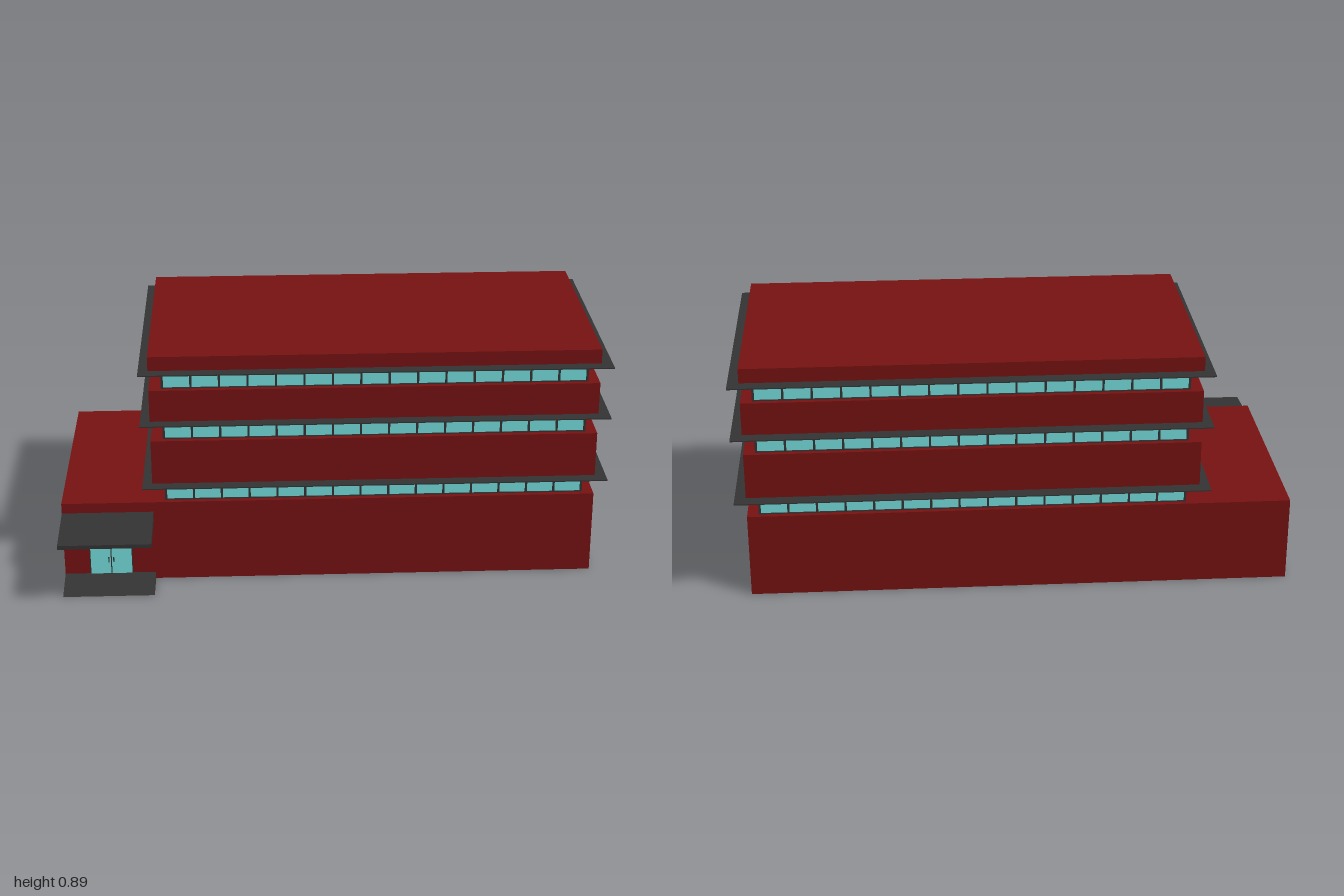
import * as THREE from 'three';

const red = new THREE.MeshStandardMaterial({ color: 0x771212 });
const dark = new THREE.MeshStandardMaterial({ color: 0x333333 });
const glass = new THREE.MeshStandardMaterial({ color: 0x77dfdf });

// Box given by its min and max corners
function block(parent, name, mat, [x0, y0, z0], [x1, y1, z1]) {
  const mesh = new THREE.Mesh(new THREE.BoxGeometry(x1 - x0, y1 - y0, z1 - z0), mat);
  mesh.position.set((x0 + x1) / 2, (y0 + y1) / 2, (z0 + z1) / 2);
  mesh.name = name;
  parent.add(mesh);
  return mesh;
}

// Side profile of [z, y] points, extruded along x
function profile(parent, name, points, x0, x1) {
  const shape = new THREE.Shape(points.map(([z, y]) => new THREE.Vector2(-z, y)));
  const geo = new THREE.ExtrudeGeometry(shape, { depth: x1 - x0, bevelEnabled: false });
  geo.rotateY(Math.PI / 2);
  const mesh = new THREE.Mesh(geo, dark);
  mesh.position.x = x0;
  mesh.name = name;
  parent.add(mesh);
}

// Recessed ribbon of glass with mullions on all four sides
function windowBand(y0, y1) {
  const band = new THREE.Group();
  band.name = 'windowBand';
  const [x0, x1, z0, z1] = [-0.617, 0.915, -0.486, 0.314];
  const t = 0.004;
  block(band, 'glazing', glass, [x0, y0, z0], [x1, y1, z1]);
  const post = (x, z) => block(band, 'mullion', dark, [x - t, y0, z - t], [x + t, y1, z + t]);
  for (let i = 0; i <= 15; i++) {
    const x = x0 + (x1 - x0) * i / 15;
    post(x, z0);
    post(x, z1);
  }
  for (let i = 1; i < 11; i++) {
    const z = z0 + (z1 - z0) * i / 11;
    post(x0, z);
    post(x1, z);
  }
  // sill and head rails
  for (const [a, b] of [[y0, y0 + 0.004], [y1 - 0.005, y1]]) {
    block(band, 'rail', dark, [x0 - 0.003, a, z0 - 0.003], [x1 + 0.003, b, z1 + 0.003]);
  }
  return band;
}

// Projecting sunshade, thinning towards its edge
function sunshade(parent, y) {
  const mesh = block(parent, 'sunshade', dark, [-0.7, y - 0.01, -0.555], [1, y, 0.38]);
  const p = mesh.geometry.attributes.position;
  for (let i = 0; i < p.count; i++) {
    if (p.getY(i) < 0) {
      p.setX(i, p.getX(i) - Math.sign(p.getX(i)) * 0.04);
      p.setZ(i, p.getZ(i) - Math.sign(p.getZ(i)) * 0.045);
    }
  }
  // thin outer lip
  p.needsUpdate = true;
  mesh.geometry = mesh.geometry.toNonIndexed();
  mesh.geometry.computeVertexNormals();
  block(parent, 'sunshadeLip', dark, [-0.7, y - 0.004, -0.555], [1, y, 0.38]);
}

export function createModel() {
  const model = new THREE.Group();
  model.name = 'officeBuilding';
  const [right, left, back, front] = [-0.665, 0.96, -0.507, 0.336];

  // Ground floor including the low entrance wing
  block(model, 'groundFloor', red, [-1, 0, back], [left, 0.315, front]);

  // Upper storeys: window band, sunshade, solid wall
  for (const [sill, head, top] of [[0.315, 0.391, 0.56], [0.56, 0.638, 0.758], [0.758, 0.835, 0.888]]) {
    model.add(windowBand(sill, head - 0.008));
    sunshade(model, head);
    block(model, 'upperWall', red, [right, head - 0.002, back], [left, top, front]);
  }

  // Entrance canopy and ramp
  profile(model, 'canopy', [[front - 0.005, 0.238], [0.42, 0.238], [0.555, 0.242], [0.555, 0.257], [front - 0.005, 0.277]], -1, right);
  profile(model, 'ramp', [[front, 0], [0.467, 0], [front, 0.026]], -1, right);

  // Double entrance door
  const door = new THREE.Group();
  door.name = 'entranceDoor';
  for (const s of [-1, 1]) {
    const c = -0.828 + s * 0.039;
    block(door, 'doorLeaf', glass, [c - 0.037, 0.022, front - 0.005], [c + 0.037, 0.157, front + 0.002]);
    const h = -0.828 + s * 0.009;
    block(door, 'doorHandle', dark, [h - 0.002, 0.073, front], [h + 0.002, 0.093, front + 0.005]);
  }
  block(door, 'doorFrame', dark, [-0.907, 0.02, front - 0.005], [-0.749, 0.159, front + 0.001]);
  model.add(door);

  return model;
}
